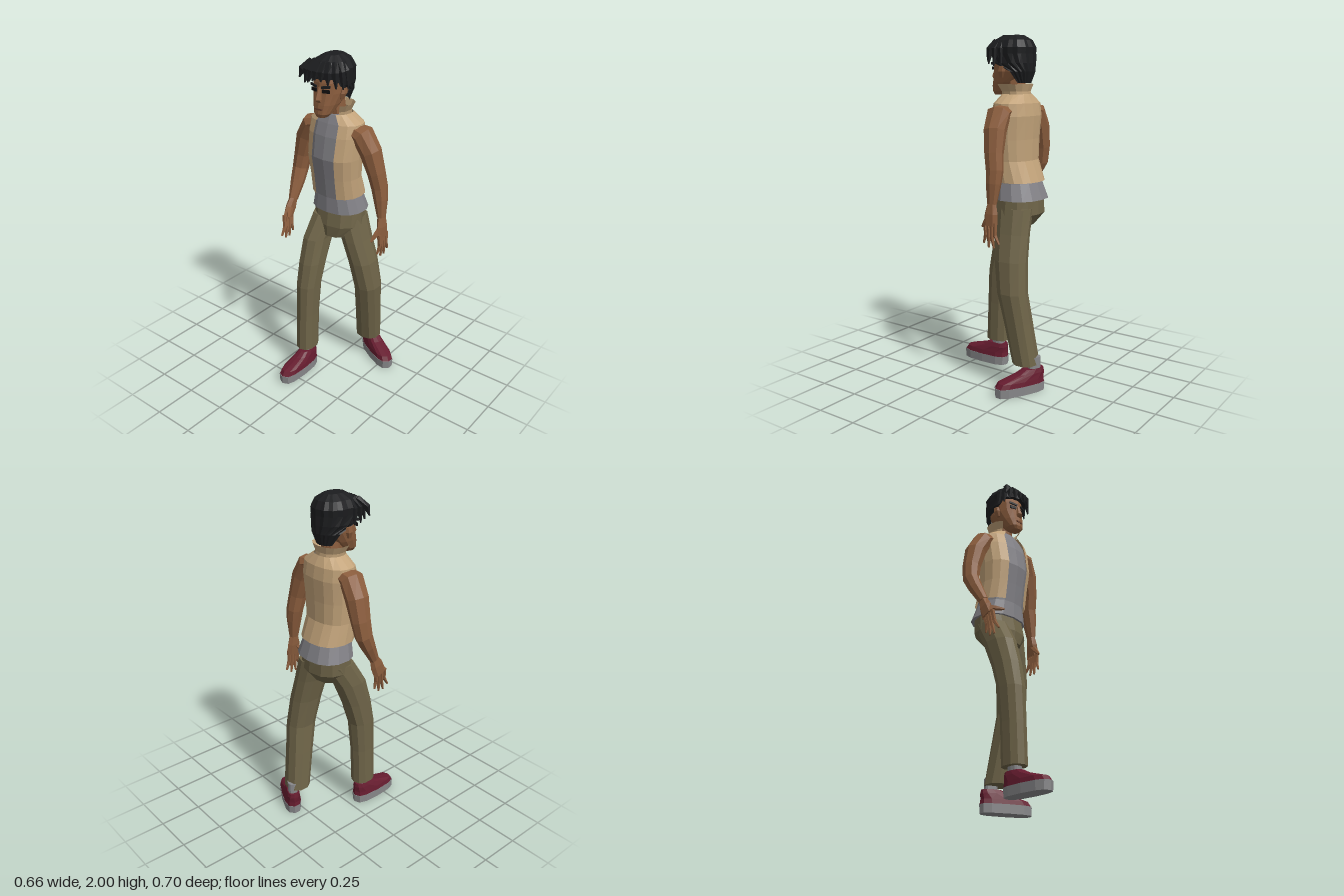
import * as THREE from 'three';

const mat = (name, color, side = THREE.FrontSide) => {
  const m = new THREE.MeshStandardMaterial({ color, side });
  m.name = name;
  return m;
};

// Faceted skin over rings [x, y, z, radiusU, radiusV, gap?].
// upright: rings stay horizontal, angle 0 faces +z; otherwise rings follow the path.
function loft(rings, { n = 8, upright = false, gap = null, boxy = 0.85, ridge = 0 } = {}) {
  if (upright) rings = [...rings].sort((a, b) => a[1] - b[1]);
  const open = gap !== null;
  const C = rings.map(r => new THREE.Vector3(r[0], r[1], r[2]));
  const bend = t => Math.sign(t) * Math.abs(t) ** boxy;
  const pts = rings.map((r, i) => {
    const T = upright ? new THREE.Vector3(0, 1, 0)
      : C[Math.min(i + 1, C.length - 1)].clone().sub(C[Math.max(i - 1, 0)]).normalize();
    const U = new THREE.Vector3(1, 0, 0).addScaledVector(T, -T.x).normalize();
    const V = U.clone().cross(T);
    const g = open ? (r[5] ?? gap) : 0;
    return Array.from({ length: n + 1 }, (_, j) => {
      const a = g + (j / n) * (2 * Math.PI - 2 * g);
      const k = 1 + (j % 2 ? -ridge : ridge);
      return C[i].clone().addScaledVector(U, r[3] * k * bend(Math.sin(a)))
        .addScaledVector(V, r[4] * k * bend(Math.cos(a)));
    });
  });
  const out = [];
  const tri = (...p) => p.forEach(v => out.push(v.x, v.y, v.z));
  const last = rings.length - 1;
  for (let j = 0; j < n; j++) {
    for (let i = 0; i < last; i++) {
      const a = pts[i][j], b = pts[i][j + 1], c = pts[i + 1][j + 1], d = pts[i + 1][j];
      tri(a, b, c);
      tri(a, c, d);
    }
    if (!open) {
      tri(C[last], pts[last][j], pts[last][j + 1]);
      tri(C[0], pts[0][j + 1], pts[0][j]);
    }
  }
  const geo = new THREE.BufferGeometry();
  geo.setAttribute('position', new THREE.Float32BufferAttribute(out, 3));
  geo.computeVertexNormals();
  return geo;
}

export function createModel() {
  const model = new THREE.Group();
  model.name = 'standingMan';
  const skin = mat('skin', 0x8c5e3e), lip = mat('lips', 0x6b4330);
  const tan = mat('vestTan', 0xc2a37a, THREE.DoubleSide);
  const grey = mat('shirtGrey', 0x828186), olive = mat('trouserOlive', 0x6e6448);
  const red = mat('shoeRed', 0x661c2f), pale = mat('soleGrey', 0x88888a);
  const black = mat('hairBlack', 0x1c1d1f, THREE.DoubleSide), dark = mat('eyeDark', 0x121010);

  const add = (name, geo, material, parent = model) => {
    const m = new THREE.Mesh(geo, material);
    m.name = name;
    parent.add(m);
    return m;
  };
  const plate = (name, material, x, y, z, w, h, roll = 0) => {
    const m = add(name, new THREE.BoxGeometry(w, h, 0.008), material);
    m.position.set(x, y, z);
    m.rotation.z = roll;
    return m;
  };

  // Shirt
  const body = [
    [-0.02, 1.18, -0.105, 0.14, 0.12], [-0.02, 1.3, -0.075, 0.138, 0.105],
    [-0.02, 1.42, -0.067, 0.148, 0.115], [-0.02, 1.55, -0.082, 0.155, 0.108],
    [-0.02, 1.62, -0.088, 0.15, 0.09], [-0.02, 1.67, -0.085, 0.075, 0.065],
  ];
  add('shirt', loft([[-0.02, 1.085, -0.122, 0.165, 0.138], ...body], { n: 14, upright: true }), grey);

  // Open vest and flared collar
  const vest = body.map(([x, y, z, a, b]) => [x, y + 0.005, z, a + 0.014, b + 0.012]);
  add('vest', loft(vest, { n: 14, upright: true, gap: 0.43 }), tan);
  add('collar', loft([
    [-0.022, 1.65, -0.085, 0.08, 0.075], [-0.022, 1.69, -0.08, 0.085, 0.075],
    [-0.022, 1.73, -0.075, 0.108, 0.092],
  ], { n: 10, upright: true, gap: 0.75 }), tan);

  // Trousers
  add('trouserSeat', loft([
    [-0.015, 0.93, -0.085, 0.1, 0.1], [-0.015, 1.0, -0.11, 0.155, 0.13],
    [-0.018, 1.1, -0.117, 0.152, 0.117],
  ], { n: 12, upright: true }), olive);
  add('rightTrouserLeg', loft([
    [-0.09, 1.04, -0.1, 0.08, 0.105], [-0.105, 0.9, -0.015, 0.073, 0.102],
    [-0.105, 0.75, 0.04, 0.071, 0.09], [-0.107, 0.6, 0.078, 0.066, 0.08],
    [-0.107, 0.4, 0.093, 0.06, 0.074], [-0.107, 0.16, 0.102, 0.059, 0.074],
  ], { n: 10, upright: true }), olive);
  add('leftTrouserLeg', loft([
    [0.055, 1.04, -0.125, 0.08, 0.11], [0.093, 0.9, -0.135, 0.073, 0.105],
    [0.13, 0.75, -0.152, 0.075, 0.098], [0.153, 0.57, -0.177, 0.075, 0.088],
    [0.138, 0.4, -0.207, 0.076, 0.08], [0.118, 0.155, -0.248, 0.077, 0.073],
  ], { n: 10, upright: true }), olive);

  // Shoes and socks, toe towards local +z
  const shoe = (name, x, z, yaw) => {
    const g = new THREE.Group();
    g.name = name;
    g.position.set(x, 0, z);
    g.rotation.y = yaw;
    model.add(g);
    const o = { n: 12, upright: true, boxy: 0.7 };
    add('sole', loft([[0, 0, 0, 0.054, 0.155], [0, 0.052, 0, 0.056, 0.158]], o), pale, g);
    add('shoeUpper', loft([
      [0, 0.05, 0, 0.055, 0.156], [0, 0.078, -0.008, 0.051, 0.144],
      [0, 0.112, -0.068, 0.043, 0.085], [0, 0.135, -0.088, 0.035, 0.06],
    ], o), red, g);
    add('sock', loft([[0, 0.1, -0.092, 0.03, 0.038], [0, 0.2, -0.092, 0.03, 0.038]], o), pale, g);
  };
  shoe('rightShoe', -0.105, 0.194, 0);
  shoe('leftShoe', 0.188, -0.252, 1.1);

  // Arms
  add('rightArm', loft([
    [-0.13, 1.59, -0.085, 0.035, 0.06], [-0.195, 1.572, -0.085, 0.055, 0.07],
    [-0.245, 1.48, -0.09, 0.058, 0.064], [-0.275, 1.36, -0.088, 0.048, 0.055],
    [-0.287, 1.27, -0.075, 0.043, 0.05], [-0.282, 1.2, -0.04, 0.04, 0.042],
    [-0.272, 1.1, 0.018, 0.024, 0.03],
  ]), skin);
  add('leftArm', loft([
    [0.09, 1.59, -0.085, 0.035, 0.06], [0.155, 1.572, -0.085, 0.055, 0.07],
    [0.205, 1.48, -0.095, 0.058, 0.062], [0.237, 1.36, -0.11, 0.047, 0.053],
    [0.251, 1.27, -0.125, 0.044, 0.048], [0.262, 1.2, -0.125, 0.038, 0.043],
    [0.273, 1.09, -0.122, 0.022, 0.028],
  ]), skin);

  // Hands: palm, four fingers spread along z, thumb
  const hand = (name, wrist, knuckle, tip, thumb) => {
    const g = new THREE.Group();
    g.name = name;
    model.add(g);
    const mid = wrist.map((v, i) => (v + knuckle[i]) / 2);
    add('palm', loft([[...wrist, 0.02, 0.027], [...mid, 0.022, 0.043], [...knuckle, 0.016, 0.045]],
      { n: 6 }), skin, g);
    for (let f = 0; f < 4; f++) {
      const s = f - 1.5, [kx, ky, kz] = knuckle, [tx, ty, tz] = tip;
      const end = [tx, ty + 0.012 * s * s, tz + s * 0.034];
      add('finger', loft([
        [kx, ky + 0.02, kz + s * 0.022, 0.013, 0.012],
        [(kx + end[0]) / 2 + 0.004, (ky + end[1]) / 2, (kz + end[2]) / 2 + s * 0.003, 0.012, 0.011],
        [...end, 0.006, 0.006],
      ], { n: 5 }), skin, g);
    }
    add('thumb', loft([[...mid, 0.016, 0.018],
      [...mid.map((v, i) => v * 0.4 + thumb[i] * 0.6), 0.014, 0.014], [...thumb, 0.006, 0.006]],
      { n: 5 }), skin, g);
  };
  hand('rightHand', [-0.272, 1.11, 0.013], [-0.278, 0.995, 0.062], [-0.265, 0.87, 0.085], [-0.214, 1.03, 0.128]);
  hand('leftHand', [0.273, 1.1, -0.122], [0.285, 0.97, -0.12], [0.283, 0.845, -0.125], [0.258, 0.955, -0.045]);

  // Neck and head
  add('neck', loft([[-0.022, 1.6, -0.09, 0.055, 0.055], [-0.028, 1.78, -0.065, 0.05, 0.055]]), skin);
  add('head', loft([
    [-0.03, 1.67, 0.035, 0.03, 0.032], [-0.03, 1.69, 0.024, 0.049, 0.05],
    [-0.03, 1.74, -0.01, 0.068, 0.08], [-0.03, 1.8, -0.045, 0.083, 0.107],
    [-0.03, 1.86, -0.054, 0.086, 0.114], [-0.03, 1.94, -0.06, 0.075, 0.1],
  ], { n: 14, upright: true }), skin);
  add('nose', loft([
    [-0.03, 1.755, 0.062, 0.018, 0.012], [-0.03, 1.772, 0.068, 0.02, 0.024],
    [-0.03, 1.835, 0.056, 0.009, 0.01],
  ], { n: 6, upright: true }), skin);
  plate('mouth', lip, -0.03, 1.718, 0.07, 0.05, 0.009);
  for (const s of [-1, 1]) {
    const eye = plate('eye', dark, -0.03 + s * 0.04, 1.818, 0.054, 0.042, 0.018);
    eye.rotation.y = s * 0.3;
    const brow = plate('eyebrow', black, -0.03 + s * 0.041, 1.842, 0.057, 0.052, 0.012, s * 0.12);
    brow.rotation.y = s * 0.3;
    add('ear', loft([
      [-0.03 + s * 0.083, 1.765, -0.03, 0.008, 0.012], [-0.03 + s * 0.092, 1.8, -0.035, 0.014, 0.024],
      [-0.03 + s * 0.094, 1.83, -0.04, 0.009, 0.02],
    ], { n: 6, upright: true }), skin);
  }

  // Hair: ridged crown, back and sides, then fringe locks
  add('hairCrown', loft([
    [-0.027, 1.885, -0.052, 0.104, 0.128], [-0.027, 1.93, -0.053, 0.108, 0.13],
    [-0.027, 1.97, -0.055, 0.088, 0.108], [-0.024, 1.998, -0.058, 0.045, 0.06],
  ], { n: 28, upright: true, ridge: 0.025 }), black);
  add('hairBack', loft([
    [-0.027, 1.735, -0.09, 0.062, 0.07, 2.0], [-0.027, 1.8, -0.068, 0.093, 0.113, 1.75],
    [-0.027, 1.845, -0.055, 0.104, 0.128, 1.15], [-0.027, 1.895, -0.052, 0.106, 0.13, 0.9],
  ], { n: 20, upright: true, gap: 1, ridge: 0.025 }), black);
  const tips = [
    [-0.155, 1.875, 0.075], [-0.12, 1.85, 0.072], [-0.08, 1.865, 0.085], [-0.04, 1.878, 0.088],
    [0.0, 1.875, 0.085], [0.04, 1.86, 0.075], [0.072, 1.84, 0.045], [0.085, 1.83, 0.0],
    [0.082, 1.83, -0.045], [-0.137, 1.835, -0.01], [-0.132, 1.84, 0.035],
  ];
  for (const [x, y, z] of tips) {
    add('hairLock', loft([
      [x * 0.6 - 0.01, 1.965, z * 0.55 - 0.01, 0.018, 0.018],
      [x * 0.88 - 0.004, 1.92, z * 0.9, 0.023, 0.018], [x, y, z, 0.004, 0.004],
    ], { n: 5 }), black);
  }
  return model;
}
